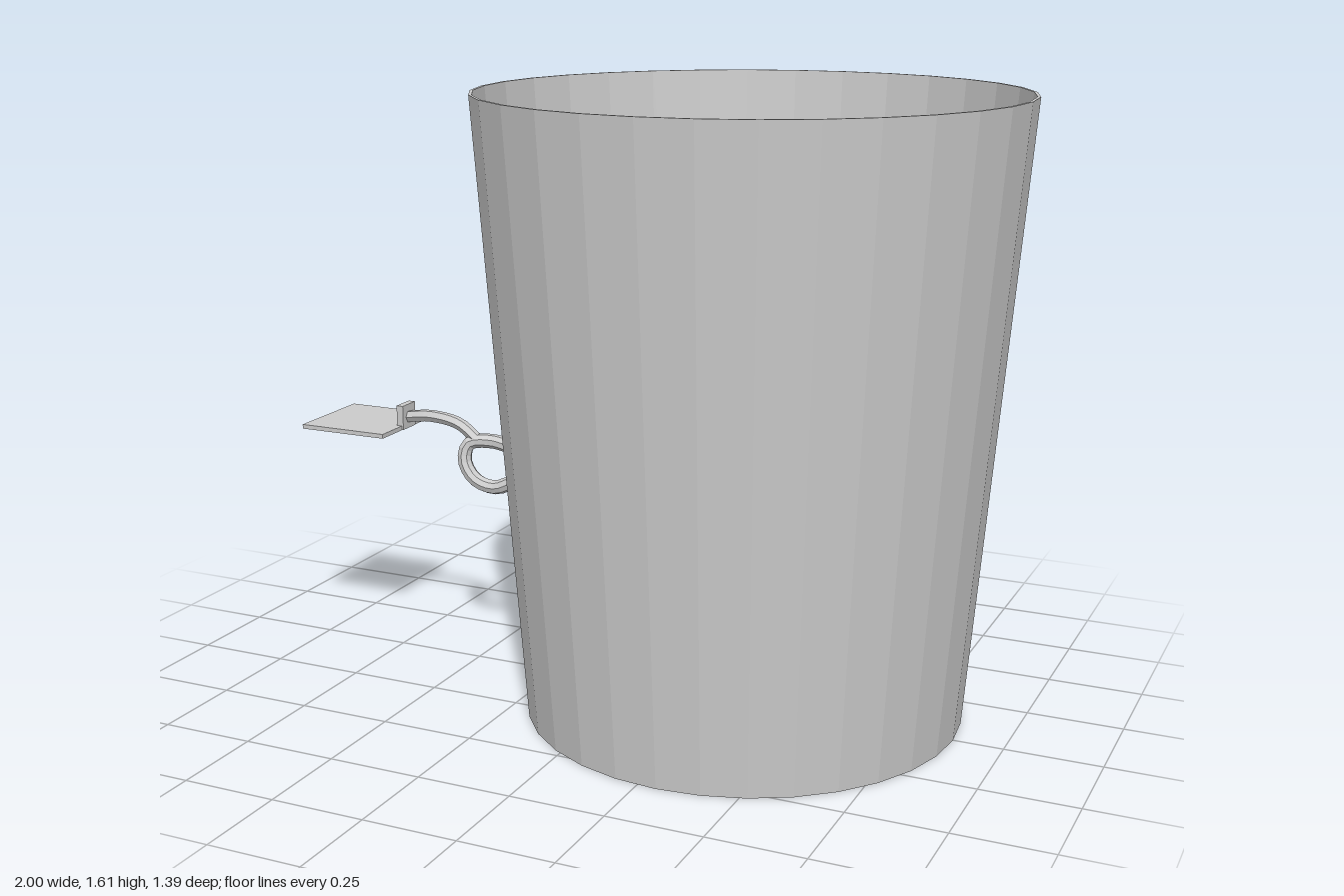
import * as THREE from 'three';

const material = new THREE.MeshStandardMaterial({ color: 0xcccccc, flatShading: true, side: THREE.DoubleSide });
const v = (x, y, z) => new THREE.Vector3(x, y, z);

function add(parent, name, geometry, x = 0, y = 0, z = 0) {
  const mesh = new THREE.Mesh(geometry, material);
  mesh.name = name;
  mesh.position.set(x, y, z);
  parent.add(mesh);
  return mesh;
}

// Cylinder running between two points
function rod(parent, name, from, to, rFrom, rTo, sides) {
  const dir = to.clone().sub(from);
  const mid = from.clone().add(to).multiplyScalar(0.5);
  const mesh = add(parent, name, new THREE.CylinderGeometry(rTo, rFrom, dir.length(), sides), mid.x, mid.y, mid.z);
  mesh.quaternion.setFromUnitVectors(v(0, 1, 0), dir.normalize());
  return mesh;
}

// Tube along a smooth curve with flat end caps
function cappedTube(parent, name, points, radius, segments, sides) {
  const curve = new THREE.CatmullRomCurve3(points);
  add(parent, name, new THREE.TubeGeometry(curve, segments, radius, sides), 0, 0, 0);
  for (const t of [0, 1]) {
    const p = curve.getPointAt(t);
    add(parent, name + 'End', new THREE.SphereGeometry(radius, sides, 5), p.x, p.y, p.z);
  }
}

export function createModel() {
  const model = new THREE.Group();
  model.name = 'bucketWithHook';
  const cx = 0.3;
  const level = 0.49;

  // Thin-walled tapering bucket with closed bottom
  const profile = [[0, 0], [0.57, 0], [0.695, 1.61], [0.687, 1.61], [0.562, 0.01], [0, 0.01]]
    .map(([r, y]) => new THREE.Vector2(r, y));
  add(model, 'bucket', new THREE.LatheGeometry(profile, 32), cx);

  // Filling
  add(model, 'filling', new THREE.CylinderGeometry(0.602, 0.566, level - 0.02, 32), cx, (level + 0.02) / 2, 0);

  // Leaning cylinder and slim stick standing in the filling
  rod(model, 'leaningCylinder', v(0.02, 0.44, 0.205), v(0.26, 1.35, 0.15), 0.08, 0.08, 32);
  const stick = new THREE.Group();
  stick.name = 'stick';
  model.add(stick);
  rod(stick, 'stickShaft', v(0.044, 0.44, -0.336), v(0.026, 1.08, -0.314), 0.028, 0.028, 12);
  rod(stick, 'stickTip', v(0.026, 1.08, -0.314), v(0.02, 1.22, -0.306), 0.028, 0.017, 12);

  // Floating blocks: x, z, width, depth, height above filling, turn
  const blocks = [
    [0.585, -0.236, 0.178, 0.178, 0.06, 0.39],
    [0.52, -0.31, 0.12, 0.13, 0.03, 0.39],
    [0.571, 0.175, 0.203, 0.203, 0.06, -0.4],
  ];
  for (const [x, z, w, d, h, turn] of blocks) {
    add(model, 'floatingBlock', new THREE.BoxGeometry(w, h + 0.06, d), x, level + (h - 0.06) / 2, z).rotation.y = turn;
  }

  // Hook curling out of the bucket wall
  cappedTube(model, 'hook', [
    v(-0.3, 0.53, -0.025), v(-0.38, 0.525, -0.025), v(-0.45, 0.498, -0.02), v(-0.51, 0.515, -0.015),
    v(-0.545, 0.565, -0.02), v(-0.535, 0.612, -0.03), v(-0.47, 0.622, -0.042), v(-0.4, 0.614, -0.035),
  ], 0.02, 24, 8);

  // Flattened tapering arm from the hook to the plate
  const arm = new THREE.CatmullRomCurve3([
    v(-0.735, 0.665, -0.04), v(-0.66, 0.675, -0.037), v(-0.57, 0.662, -0.037), v(-0.51, 0.622, -0.035),
  ]);
  const armGeometry = new THREE.TubeGeometry(arm, 12, 0.017, 6);
  add(model, 'arm', armGeometry);

  // Plate and its small mounting bracket
  add(model, 'plate', new THREE.BoxGeometry(0.262, 0.012, 0.262), -0.869, 0.638, -0.038);
  add(model, 'bracket', new THREE.BoxGeometry(0.02, 0.068, 0.065), -0.743, 0.667, -0.04);
  return model;
}
